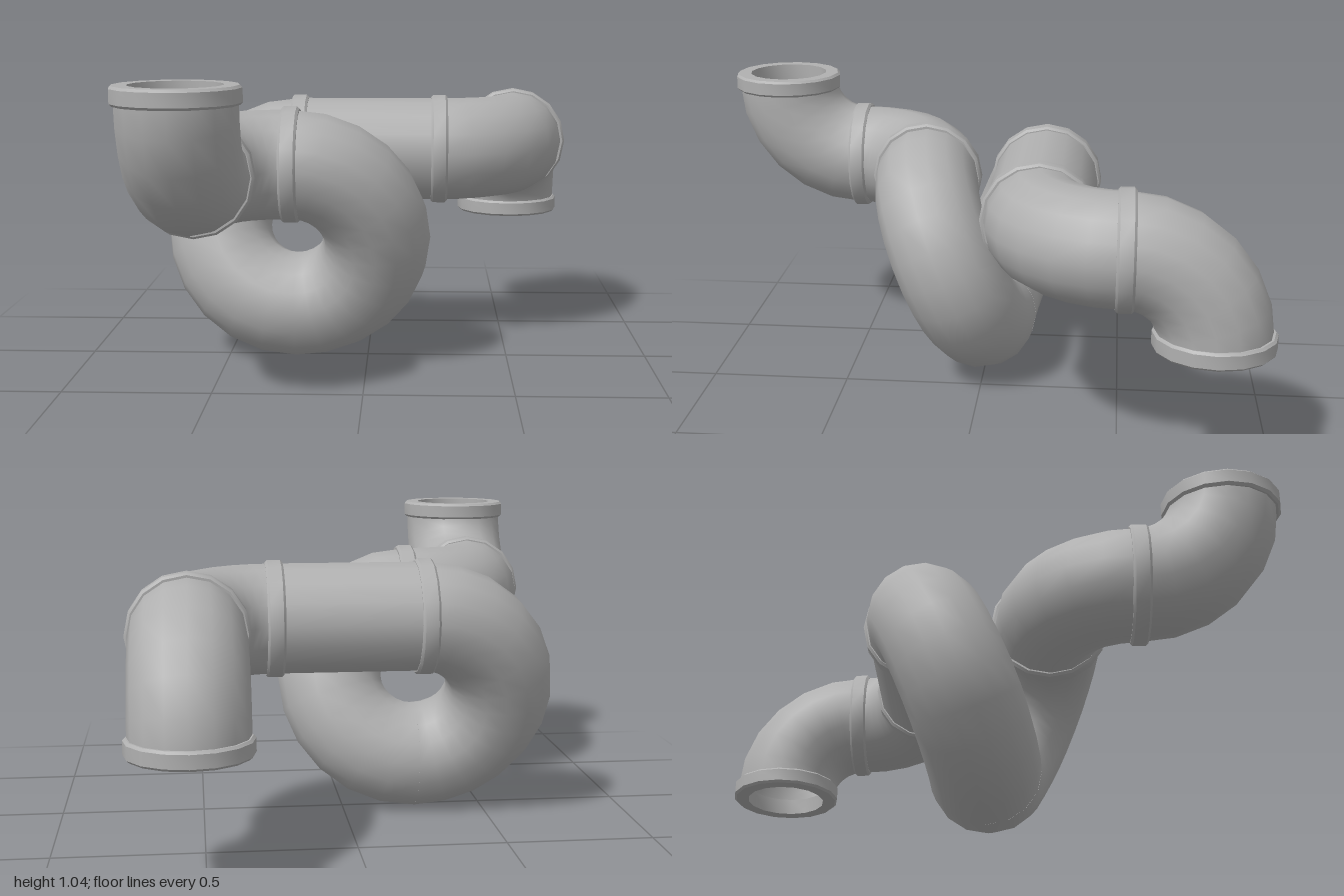
import * as THREE from 'three';
import { toCreasedNormals } from 'three/addons/utils/BufferGeometryUtils.js';

const R = 0.289;      // bend radius
const r = 0.188;      // pipe radius
const SIDES = 16;
const Y = 0.724;      // height of the upper pipe runs
const X = 0.255, Z = 0.22;
const DROP = 0.268;   // half the height of the looping bends

export function createModel() {
  const group = new THREE.Group();
  const metal = new THREE.MeshStandardMaterial({ color: 0xb0b0b0, side: THREE.DoubleSide });
  metal.name = 'greyMetal';

  const add = (name, geometry) => {
    const mesh = new THREE.Mesh(geometry, metal);
    mesh.name = name;
    group.add(mesh);
    return mesh;
  };

  // Bend around a centre, starting on the side 'from' and turning towards 'to'
  const bend = (name, centre, from, to, arc = Math.PI / 2) => {
    const u = new THREE.Vector3(...from).normalize();
    const v = new THREE.Vector3(...to).normalize();
    const w = new THREE.Vector3().crossVectors(u, v);
    const geometry = new THREE.TorusGeometry(R, r, SIDES, Math.round(arc / Math.PI * 12), arc);
    geometry.applyMatrix4(new THREE.Matrix4().makeBasis(u, v, w).setPosition(...centre));
    add(name, geometry);
  };

  // Bevelled ring with an open middle
  const profile = [
    [0.145, -0.03], [0.192, -0.03], [0.2, -0.022], [0.2, 0.022],
    [0.192, 0.03], [0.145, 0.03], [0.145, -0.03],
  ].map(([x, y]) => new THREE.Vector2(x, y));
  const ring = toCreasedNormals(new THREE.LatheGeometry(profile, SIDES), 0.6);
  const collar = (name, position, axis) => {
    const mesh = add(name, ring);
    mesh.position.set(...position);
    if (axis === 'x') mesh.rotation.z = Math.PI / 2;
    if (axis === 'z') mesh.rotation.x = Math.PI / 2;
  };

  // Two tilted half rings form the loop
  bend('frontLoop', [-X, Y - DROP, Z / 2], [0, DROP, Z / 2], [1, 0, 0], Math.PI);
  bend('backLoop', [-X, Y - DROP, -Z / 2], [0, DROP, -Z / 2], [-1, 0, 0], Math.PI);

  // Front run: turns forward, then up
  bend('frontElbow', [-X, Y, Z + R], [0, 0, -1], [-1, 0, 0]);
  bend('upElbow', [-X - R, Y + R, Z + R], [0, -1, 0], [0, 0, 1]);

  // Back run: straight pipe, turns backward, then down
  const straight = new THREE.CylinderGeometry(r, r, 2 * X, SIDES, 1, true);
  straight.rotateZ(Math.PI / 2).translate(0, Y, -Z);
  add('straightPipe', straight);
  bend('backElbow', [X, Y, -Z - R], [0, 0, 1], [1, 0, 0]);
  bend('downElbow', [X + R, Y - R, -Z - R], [0, 1, 0], [0, 0, -1]);

  // Collars at the joints and open ends
  collar('frontLoopCollar', [-X, Y, Z], 'x');
  collar('backLoopCollar', [-X, Y, -Z], 'x');
  collar('straightCollar', [X, Y, -Z], 'x');
  collar('frontElbowCollar', [-X - R, Y, Z + R], 'z');
  collar('backElbowCollar', [X + R, Y, -Z - R], 'z');
  collar('topRim', [-X - R, Y + R, Z + 2 * R], 'y');
  collar('bottomRim', [X + R, Y - R, -Z - 2 * R], 'y');

  return group;
}
